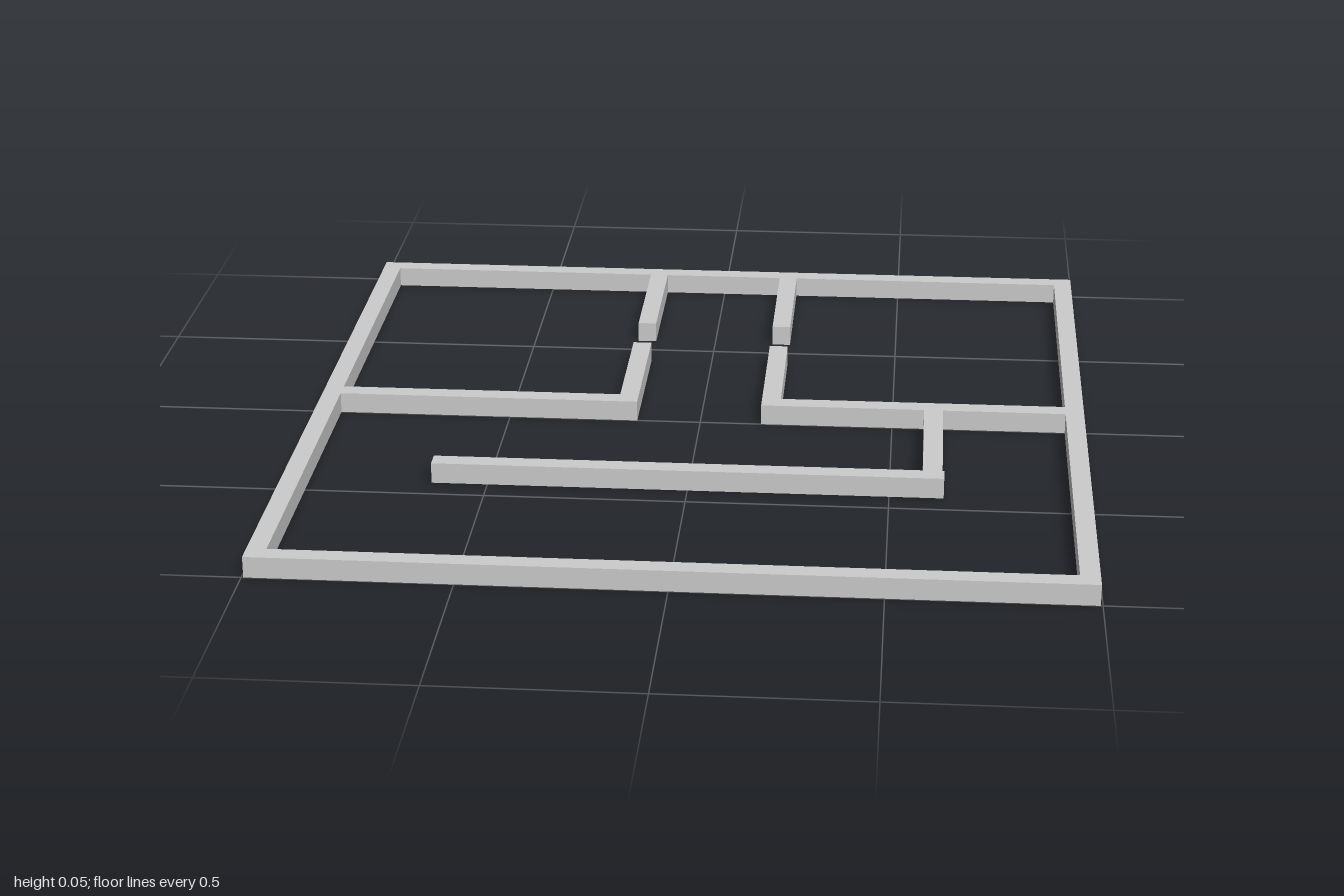
import * as THREE from 'three';

const HEIGHT = 0.053;

export function createModel() {
  const model = new THREE.Group();
  model.name = 'floorPlanWalls';
  const material = new THREE.MeshStandardMaterial({ color: 0xcccccc, flatShading: true });

  // A straight wall standing on the floor, given by its plan extents
  function wall(name, x0, x1, z0, z1) {
    const mesh = new THREE.Mesh(new THREE.BoxGeometry(x1 - x0, HEIGHT, z1 - z0), material);
    mesh.position.set((x0 + x1) / 2, HEIGHT / 2, (z0 + z1) / 2);
    mesh.name = name;
    model.add(mesh);
  }

  // Outer walls
  wall('backWall', -0.995, 0.995, -1, -0.952);
  wall('frontWall', -0.995, 0.995, 0.952, 1);
  wall('rightOuterWall', -0.995, -0.947, -0.952, 0.952);
  wall('leftOuterWall', 0.947, 0.995, -0.952, 0.952);

  // Corridor walls, each broken by a doorway
  for (const [side, x0, x1] of [['right', -0.214, -0.165], ['left', 0.159, 0.208]]) {
    wall(side + 'CorridorBackWall', x0, x1, -0.952, -0.565);
    wall(side + 'CorridorFrontWall', x0, x1, -0.42, 0);
  }

  // Walls between the back rooms and the front room
  wall('rightRoomWall', -0.947, -0.214, -0.048, 0);
  wall('leftRoomWall', 0.208, 0.947, -0.048, 0);

  // L-shaped partition in the front room
  wall('partitionStub', 0.582, 0.631, 0, 0.385);
  wall('partitionWall', -0.64, 0.635, 0.385, 0.433);

  return model;
}
